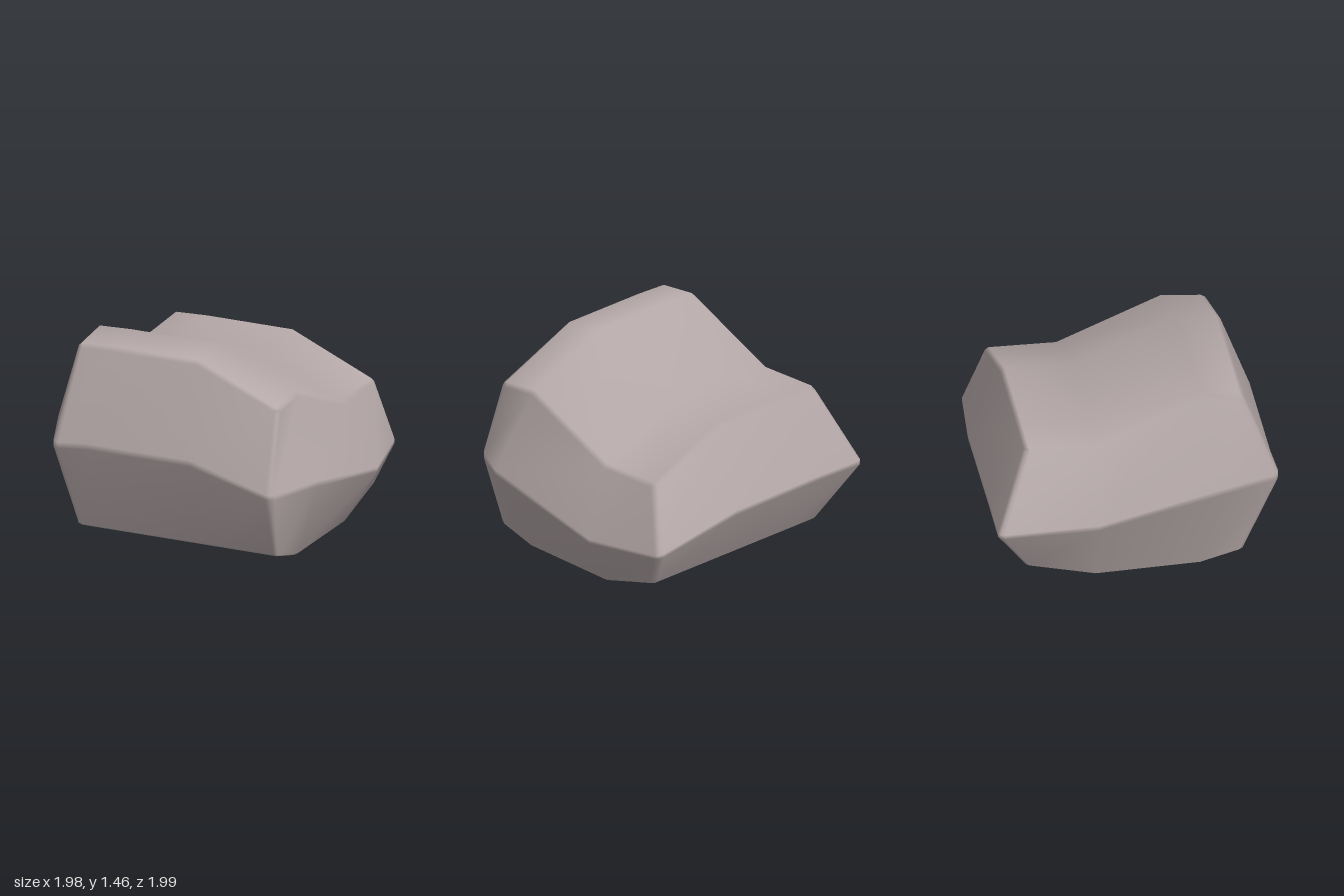
import * as THREE from 'three';

// Grid lines of the top and bottom faces, front (+z) to back
const X = [-0.77, -0.5, 0.15, 0.775];
const Z = [0.76, 0.45, -0.28, -0.78];
const TOP = [1.42, 1.455, 1.15, 1.17];   // height along z
const DROP = [0.01, 0, 0, 0.26];         // fall of the top along x
const BASE = [0.08, 0, 0, 0.14];         // underside along z
const BEVEL = 0.03;

const topY = (i, j) => TOP[j] - DROP[i];
const baseY = (i, j) => BASE[j];

// Widest outline, from front-left round to the right, back and left
const WAIST = [
  [-0.84, 0.73, 1.0], [-0.6, 0.75, 0.98], [0.2, 0.75, 0.98],
  [0.79, 0.56, 0.93], [0.995, 0.6, 0.59], [0.995, 0.4, -0.36],
  [0.86, 0.42, -0.925], [0.2, 0.58, -1.005], [-0.6, 0.59, -1.005],
  [-1.0, 0.58, -1.005], [-1.0, 0.57, -0.3], [-1.0, 0.77, 0.59],
].map((p) => new THREE.Vector3(...p));

// Cells on the border of an n by n grid, in the same order as the waist
function border(n) {
  const m = n - 1, cells = [];
  for (let k = 0; k < m; k++) cells.push([k, 0]);
  for (let k = 0; k < m; k++) cells.push([m, k]);
  for (let k = 0; k < m; k++) cells.push([m - k, m]);
  for (let k = 0; k < m; k++) cells.push([0, m - k]);
  return cells;
}

// Turn 12 outline points into 20 by rounding the four corners
function roundCorners(pts) {
  const toward = (a, b) => b.clone().sub(a).setLength(0.04).add(a);
  const ring = [];
  for (let c = 0; c < 12; c += 3) {
    const p = pts[c], next = pts[c + 1], prev = pts[(c + 11) % 12];
    const a = toward(p, prev), b = toward(p, next);
    const mid = a.clone().add(b).multiplyScalar(0.5).lerp(p, 0.4);
    ring.push(mid, b, pts[c + 1], pts[c + 2], toward(pts[(c + 3) % 12], pts[c + 2]));
  }
  return ring;
}

function rockGeometry() {
  const positions = [], index = [];
  const add = (v) => positions.push(v.x, v.y, v.z) / 3 - 1;
  const quad = (a, b, c, d) => index.push(a, b, c, a, c, d);
  const edge = (height, dy) => roundCorners(
    border(4).map(([i, j]) => new THREE.Vector3(X[i], height(i, j) + dy, Z[j])));

  // Rings from the underside to the top, doubled at the waist for a soft edge
  const low = edge(baseY, 0.02), high = edge(topY, -BEVEL);
  const waist = roundCorners(WAIST);
  const rings = [
    low,
    waist.map((p, k) => p.clone().lerp(low[k], 0.035)),
    waist.map((p, k) => p.clone().lerp(high[k], 0.035)),
    high,
  ].map((ring) => ring.map(add));
  for (let r = 0; r < 3; r++) {
    for (let k = 0; k < 20; k++) {
      const n = (k + 1) % 20;
      quad(rings[r][k], rings[r][n], rings[r + 1][n], rings[r + 1][k]);
    }
  }

  // Faces closing the top and the underside, inset to leave a bevel
  function cap(ring, height, up) {
    const grid = Array.from({ length: 6 }, () => []);
    border(6).forEach(([i, j], k) => { grid[i][j] = ring[k]; });
    const inset = (k) => (k === 0 ? BEVEL : k === 3 ? -BEVEL : 0);
    for (let i = 0; i < 4; i++) {
      for (let j = 0; j < 4; j++) {
        grid[i + 1][j + 1] = add(new THREE.Vector3(
          X[i] + inset(i), height(i, j), Z[j] - inset(j)));
      }
    }
    for (let i = 0; i < 5; i++) {
      for (let j = 0; j < 5; j++) {
        const q = [grid[i][j], grid[i + 1][j], grid[i + 1][j + 1], grid[i][j + 1]];
        quad(...(up ? q : q.reverse()));
      }
    }
  }
  cap(rings[3], topY, true);
  cap(rings[0], baseY, false);

  const geometry = new THREE.BufferGeometry();
  geometry.setAttribute('position', new THREE.Float32BufferAttribute(positions, 3));
  geometry.setIndex(index);
  geometry.computeVertexNormals(); // large faces dominate, so only the bevels look rounded
  return geometry;
}

export function createModel() {
  const group = new THREE.Group();
  group.name = 'boulder';
  const rock = new THREE.Mesh(rockGeometry(), new THREE.MeshStandardMaterial({ color: 0xb5a8a8 }));
  rock.name = 'rock';
  group.add(rock);
  return group;
}
